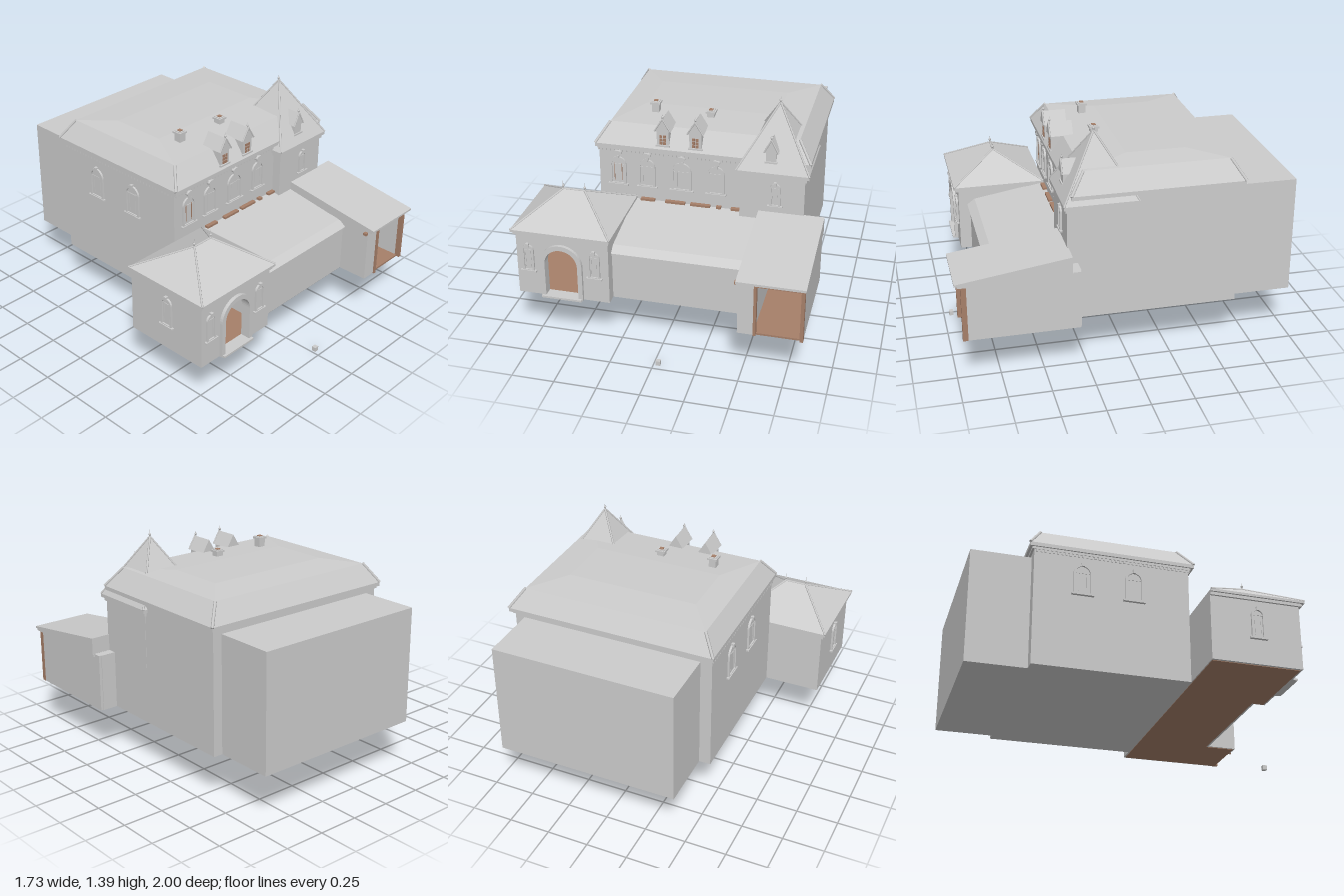
import * as THREE from 'three';

const mat = (name, color) => {
  const m = new THREE.MeshStandardMaterial({ color });
  m.name = name;
  return m;
};

export function createModel() {
  const root = new THREE.Group();
  root.name = 'manorHouse';
  const stone = mat('greyStone', 0xcccccc);
  const wood = mat('brownWood', 0xa67f69);
  const G = 0.295; // ground level of the house

  const add = (name, geo, material = stone, parent = root) => {
    const m = new THREE.Mesh(geo, material);
    m.name = name;
    parent.add(m);
    return m;
  };
  // Box given by its limits
  const box = (name, x0, x1, y0, y1, z0, z1, material, parent) =>
    add(name, new THREE.BoxGeometry(x1 - x0, y1 - y0, z1 - z0)
      .translate((x0 + x1) / 2, (y0 + y1) / 2, (z0 + z1) / 2), material, parent);

  // Solid between two level rectangles [x0, x1, z0, z1]
  const frustum = (name, a, y0, b, y1, material, parent) => {
    const ring = (r, y) => [r[0], y, r[2], r[1], y, r[2], r[1], y, r[3], r[0], y, r[3]];
    const g = new THREE.BufferGeometry();
    g.setAttribute('position', new THREE.Float32BufferAttribute([...ring(a, y0), ...ring(b, y1)], 3));
    const idx = [0, 1, 2, 0, 2, 3, 7, 6, 5, 7, 5, 4];
    for (let i = 0; i < 4; i++) {
      const j = (i + 1) % 4;
      idx.push(j, i, i + 4, j, i + 4, j + 4);
    }
    g.setIndex(idx);
    const flat = g.toNonIndexed();
    flat.computeVertexNormals();
    return add(name, flat, material, parent);
  };
  // Thin rod between two points
  const rod = (name, p, q, r) => {
    const a = new THREE.Vector3(...p), d = new THREE.Vector3(...q).sub(a);
    const m = add(name, new THREE.CylinderGeometry(r, r, d.length(), 6));
    m.position.copy(a).addScaledVector(d, 0.5);
    m.quaternion.setFromUnitVectors(new THREE.Vector3(0, 1, 0), d.normalize());
  };
  const hips = (name, a, y0, b, y1, r) => {
    for (const i of [0, 1]) for (const k of [2, 3])
      rod(name, [a[i], y0, a[k]], [b[i], y1, b[k]], r);
  };
  const finial = (x, y, z, h) => {
    add('finialSpike', new THREE.ConeGeometry(0.005, h, 6).translate(x, y + h / 2, z));
    add('finialBall', new THREE.SphereGeometry(0.008, 8, 6).translate(x, y + h * 0.35, z));
  };
  // Profile of [z, y] points swept along x
  const sweepX = (name, pts, x0, x1, material) => {
    const s = new THREE.Shape(pts.map(([z, y]) => new THREE.Vector2(-z, y)));
    const g = new THREE.ExtrudeGeometry(s, { depth: x1 - x0, bevelEnabled: false });
    return add(name, g.rotateY(Math.PI / 2).translate(x0, 0, 0), material);
  };
  const arch = (Type, w, h, y = 0, x = 0) => {
    const s = new Type();
    s.moveTo(x - w, y).lineTo(x + w, y).lineTo(x + w, h - w);
    s.absarc(x, h - w, w, 0, Math.PI, false);
    s.lineTo(x - w, y);
    return s;
  };
  const extrude = (shape, depth) =>
    new THREE.ExtrudeGeometry(shape, { depth, bevelEnabled: false, curveSegments: 12 });

  // Arched window: frame, pane, mullions, sill and keystone
  const archWindow = (x, y, z, w, h, turn = 0, crown = false, bars = stone) => {
    const g = new THREE.Group();
    g.name = 'archedWindow';
    g.position.set(x, y, z);
    g.rotation.y = turn;
    root.add(g);
    const s = arch(THREE.Shape, w, h);
    s.holes.push(arch(THREE.Path, w - 0.012, h - 0.012, 0.005));
    add('windowFrame', extrude(s, 0.012), stone, g);
    add('windowPane', extrude(arch(THREE.Shape, w - 0.01, h - 0.01), 0.003), stone, g);
    for (const k of [-0.45, 0.45])
      box('mullion', k * w - 0.0015, k * w + 0.0015, 0.02, h - w * 0.9, 0, 0.006, bars, g);
    box('glazingBar', -w + 0.01, w - 0.01, h - w - 0.002, h - w + 0.002, 0, 0.006, stone, g);
    box('windowSill', -w - 0.012, w + 0.012, -0.01, 0, 0, 0.018, stone, g);
    box('keystone', -0.009, 0.009, h - 0.012, h + 0.01, 0, 0.018, stone, g);
    if (crown) {
      box('crownStem', -0.012, 0.012, h, h + 0.022, 0, 0.016, stone, g);
      add('crownCap', new THREE.CylinderGeometry(0.016, 0.016, 0.022, 12)
        .rotateX(Math.PI / 2).scale(1.6, 1, 1).translate(0, h + 0.028, 0.011), stone, g);
    }
  };

  // Main hall, cornice and rear block
  box('hallWalls', -0.5, 0.738, G, 1.04, -0.64, 0.3);
  box('hallCorniceLower', -0.506, 0.748, 1.02, 1.04, -0.652, 0.314);
  box('hallCorniceUpper', -0.515, 0.765, 1.035, 1.058, -0.667, 0.332);
  for (let x = -0.49; x < 0.34; x += 0.025) box('dentil', x, x + 0.012, 1.004, 1.02, 0.3, 0.31);
  for (let z = -0.63; z < 0.3; z += 0.025) box('dentil', -0.506, -0.5, 1.004, 1.02, z, z + 0.012);
  box('rearBlock', -0.43, 0.68, G, 1.0, -1, -0.63);

  // Hall roof: steep skirt and a nearly flat hipped top
  const eave = [-0.515, 0.765, -0.667, 0.332], upper = [-0.44, 0.685, -0.595, 0.25];
  frustum('hallRoofSkirt', eave, 1.058, upper, 1.172);
  frustum('hallRoofTop', upper, 1.172, [-0.29, 0.51, -0.38, -0.03], 1.187);
  hips('hallHipRidge', eave, 1.058, upper, 1.172, 0.009);

  // Hall windows
  [[-0.385, 0.05], [-0.208, 0.05], [0.002, 0.06], [0.21, 0.05]].forEach(([x, w], i) =>
    archWindow(x, 0.795, 0.3, w, 0.175, 0, true, i === 0 ? wood : stone));
  for (const z of [-0.35, -0.04]) archWindow(-0.5, 0.765, z, 0.055, 0.19, -Math.PI / 2);

  // Dormer with gabled roof, facing front
  const dormer = (x, w, y0, y1, peak, zBack, zFront) => {
    box('dormerBody', x - w, x + w, y0, y1, zBack, zFront);
    const gable = (hw, yb, yt) => new THREE.Shape([
      new THREE.Vector2(x - hw, yb), new THREE.Vector2(x + hw, yb), new THREE.Vector2(x, yt)]);
    add('dormerRoof', extrude(gable(w + 0.012, y1, peak), zFront + 0.008 - zBack).translate(0, 0, zBack));
    for (const s of [-1, 1])
      rod('dormerBargeboard', [x + s * (w + 0.012), y1, zFront + 0.006], [x, peak, zFront + 0.006], 0.005);
    box('dormerSill', x - w - 0.006, x + w + 0.006, y0 - 0.006, y0 + 0.004, zFront - 0.02, zFront + 0.008);
    finial(x, peak, zFront, 0.035);
  };
  for (const x of [-0.104, 0.09]) {
    dormer(x, 0.036, 1.08, 1.17, 1.248, 0.19, 0.322);
    for (const s of [-1, 1]) for (let r = 0; r < 3; r++) {
      const cx = x + s * 0.011, y = 1.086 + r * 0.021;
      box('dormerPane', cx - 0.008, cx + 0.008, y, y + 0.017, 0.32, 0.325, wood);
    }
  }

  // Chimneys
  for (const [x, top] of [[-0.212, 1.247], [0.125, 1.222]]) {
    box('chimneyStack', x - 0.022, x + 0.022, 1.16, top, 0.043, 0.087);
    box('chimneyCap', x - 0.03, x + 0.03, top - 0.016, top - 0.004, 0.035, 0.095);
    box('chimneyFlue', x - 0.012, x + 0.012, top, top + 0.004, 0.053, 0.077, wood);
  }

  // Corner tower
  box('towerWalls', 0.362, 0.74, 0.64, 0.98, -0.03, 0.355);
  box('towerCorniceLower', 0.352, 0.75, 0.958, 0.98, -0.04, 0.364);
  box('towerCorniceUpper', 0.34, 0.765, 0.98, 1.0, -0.052, 0.375);
  const tEave = [0.34, 0.765, -0.052, 0.375], tTop = [0.55, 0.555, 0.16, 0.165];
  frustum('towerRoof', tEave, 1.0, tTop, 1.35);
  hips('towerHipRidge', tEave, 1.0, tTop, 1.35, 0.006);
  finial(0.552, 1.35, 0.162, 0.045);
  dormer(0.537, 0.03, 1.055, 1.115, 1.195, 0.24, 0.34);
  archWindow(0.57, 0.79, 0.355, 0.032, 0.14);

  // Gate pavilion: four walls with an arched opening in front
  const front = new THREE.Shape([[-0.84, G], [-0.29, G], [-0.29, 0.7], [-0.84, 0.7]]
    .map(p => new THREE.Vector2(...p)));
  front.holes.push(arch(THREE.Path, 0.098, 0.613, G + 0.001, -0.57));
  add('pavilionFrontWall', extrude(front, 0.04).translate(0, 0, 0.8));
  box('pavilionLeftWall', -0.84, -0.815, G, 0.7, 0.3, 0.8);
  box('pavilionRightWall', -0.315, -0.29, G, 0.7, 0.3, 0.8);
  box('pavilionBackWall', -0.815, -0.315, G, 0.7, 0.3, 0.325);
  box('pavilionCeiling', -0.815, -0.315, 0.6, 0.64, 0.325, 0.8, wood);
  const surround = arch(THREE.Shape, 0.125, 0.642, G, -0.57);
  surround.holes.push(arch(THREE.Path, 0.098, 0.613, G + 0.001, -0.57));
  add('gateSurround', extrude(surround, 0.02).translate(0, 0, 0.84));
  box('gateStep', -0.69, -0.45, G, G + 0.012, 0.8, 0.875);
  for (const x of [-0.77, -0.375]) archWindow(x, 0.455, 0.84, 0.035, 0.165);
  archWindow(-0.84, 0.455, 0.58, 0.04, 0.18, -Math.PI / 2);

  // Pavilion roof
  const pEave = [-0.862, -0.273, 0.3, 0.868], pTop = [-0.632, -0.5, 0.582, 0.588];
  box('pavilionCornice', -0.852, -0.283, 0.685, 0.703, 0.3, 0.855);
  box('pavilionEave', ...pEave.slice(0, 2), 0.703, 0.718, 0.3, 0.868);
  frustum('pavilionRoof', pEave, 0.718, pTop, 0.868);
  hips('pavilionHipRidge', pEave, 0.718, pTop, 0.868, 0.006);
  rod('pavilionRidge', [-0.632, 0.868, 0.585], [-0.5, 0.868, 0.585], 0.006);
  for (const x of [-0.632, -0.5]) finial(x, 0.868, 0.585, 0.055);

  // Connecting wing with lean-to roof
  box('wingWalls', -0.29, 0.48, G, 0.59, 0.3, 0.77);
  box('wingCornice', -0.29, 0.48, 0.575, 0.597, 0.3, 0.78);
  sweepX('wingRoof', [[0.787, 0.595], [0.74, 0.63], [0.3, 0.702], [0.3, 0.595]], -0.29, 0.48);
  for (const [a, b] of [[-0.245, -0.16], [-0.095, 0.025], [0.058, 0.178], [0.215, 0.243], [0.303, 0.358]])
    box('woodenLedge', a, b, 0.704, 0.717, 0.3, 0.325, wood);

  // Right annex with open front
  box('annexLeftWall', 0.48, 0.57, G, 0.645, 0.3, 0.955);
  box('annexRightWall', 0.832, 0.848, G, 0.645, 0.3, 0.935);
  box('annexBackWall', 0.57, 0.832, G, 0.645, 0.295, 0.345);
  box('annexLeftPost', 0.57, 0.586, G, 0.625, 0.935, 0.965, wood);
  box('annexRightPost', 0.83, 0.85, G, 0.625, 0.935, 0.965, wood);
  box('annexLintel', 0.57, 0.85, 0.61, 0.628, 0.935, 0.965, wood);
  box('annexBeamEnd', 0.46, 0.48, 0.608, 0.624, 0.935, 0.957, wood);
  box('annexEave', 0.476, 0.858, 0.628, 0.646, 0.345, 0.985);
  sweepX('annexRoof', [[1.0, 0.64], [1.0, 0.652], [0.348, 0.745], [0.348, 0.64]], 0.474, 0.86);

  // Wooden floors, seen through the openings and from below
  box('pavilionFloor', -0.825, -0.3, 0.292, 0.303, 0.305, 0.828, wood);
  box('wingFloor', -0.3, 0.49, 0.292, 0.303, 0.305, 0.755, wood);
  box('annexFloor', 0.49, 0.836, 0.292, 0.303, 0.305, 0.945, wood);

  // Small marker stone in front
  box('markerStone', 0.013, 0.04, 0, 0.028, 0.942, 0.968);

  return root;
}
